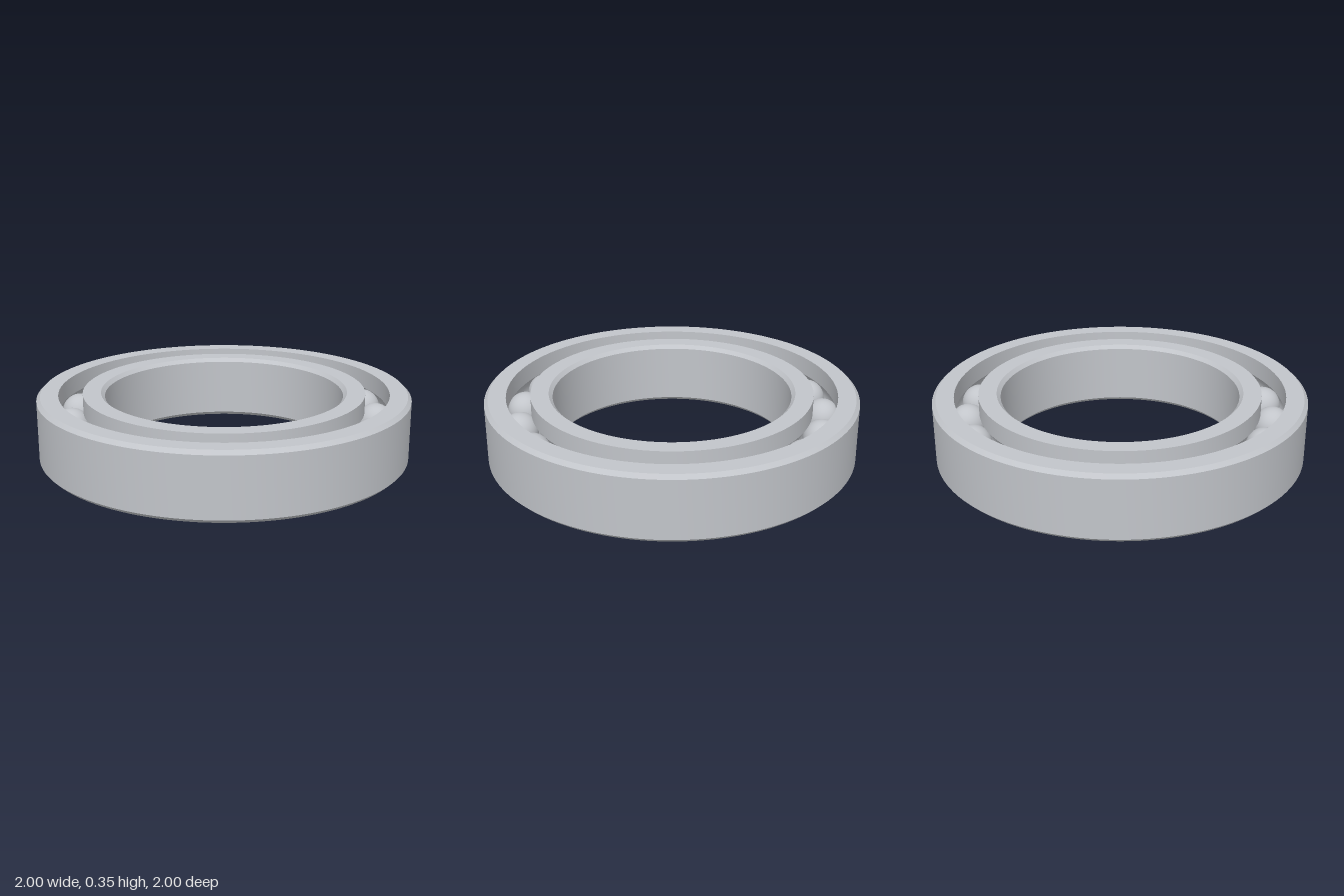
import * as THREE from 'three';
import { toCreasedNormals } from 'three/addons/utils/BufferGeometryUtils.js';

const HEIGHT = 0.355, MID = HEIGHT / 2, CHAMFER = 0.02;
const PITCH = 0.82, BALL_R = 0.098, BALLS = 19;

// Arc of the ball groove where it cuts a cylinder of radius r; upward or downward
function groove(r, up) {
  const side = Math.sign(r - PITCH), R = BALL_R + 0.002;
  const a = Math.acos(Math.abs(r - PITCH) / R), steps = 12;
  return Array.from({ length: steps + 1 }, (_, i) => {
    const t = (up ? 1 : -1) * a * (2 * i / steps - 1);
    return [PITCH + side * R * Math.cos(t), MID + R * Math.sin(t)];
  });
}

// Revolve a closed counter-clockwise profile, keeping its edges crisp
function ring(name, profile, material) {
  const points = [...profile, profile[0]].map(([x, y]) => new THREE.Vector2(x, y));
  const geometry = toCreasedNormals(new THREE.LatheGeometry(points, 128), Math.PI / 6);
  const mesh = new THREE.Mesh(geometry, material);
  mesh.name = name;
  return mesh;
}

export function createModel() {
  const model = new THREE.Group();
  model.name = 'ballBearing';
  const steel = new THREE.MeshStandardMaterial({ color: 0xc2c5ca });
  steel.name = 'steel';

  // Outer ring: chamfered outside, grooved inside
  const outerR = 1, outerBore = 0.885;
  model.add(ring('outerRing', [
    [outerBore, 0], [outerR - CHAMFER, 0], [outerR, CHAMFER],
    [outerR, HEIGHT - CHAMFER], [outerR - CHAMFER, HEIGHT], [outerBore, HEIGHT],
    ...groove(outerBore, false),
  ], steel));

  // Inner ring: grooved outside, chamfered bore
  const innerR = 0.757, bore = 0.64;
  model.add(ring('innerRing', [
    [bore + CHAMFER, 0], [innerR, 0], ...groove(innerR, true),
    [innerR, HEIGHT], [bore + CHAMFER, HEIGHT],
    [bore, HEIGHT - CHAMFER], [bore, CHAMFER],
  ], steel));

  // Balls evenly spaced in the groove, the first on +x
  const balls = new THREE.Group();
  balls.name = 'balls';
  const ballGeometry = new THREE.SphereGeometry(BALL_R, 32, 20);
  for (let i = 0; i < BALLS; i++) {
    const a = i / BALLS * Math.PI * 2;
    const ball = new THREE.Mesh(ballGeometry, steel);
    ball.name = 'ball';
    ball.position.set(PITCH * Math.cos(a), MID, PITCH * Math.sin(a));
    balls.add(ball);
  }
  model.add(balls);
  return model;
}
